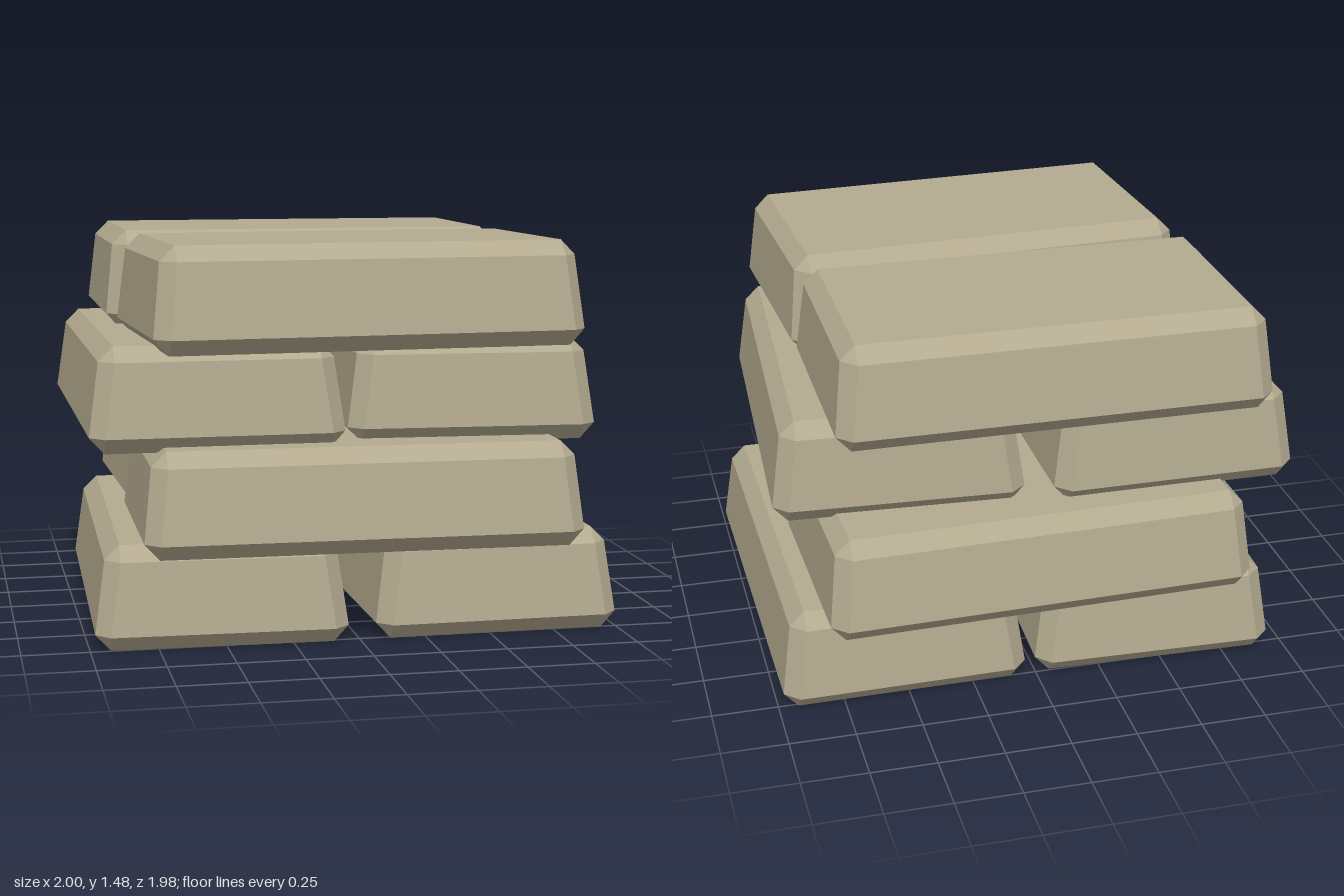
import * as THREE from 'three';

const CHAMFER = 0.055;
// Bar cross-sections from bottom to top: height, half length, half width, corner chamfer
const SECTIONS = [
  [0, 0.755, 0.413, 0],
  [0.06, 0.81, 0.468, CHAMFER],
  [0.33, 0.78, 0.43, CHAMFER],
  [0.385, 0.725, 0.375, 0],
];
const SIGNS = [[1, 1], [-1, 1], [-1, -1], [1, -1]];

// Eight points around a rectangle with cut corners
function ring([y, hx, hz, c]) {
  return SIGNS.flatMap(([sx, sz]) => {
    const pair = [[sx * hx, y, sz * (hz - c)], [sx * (hx - c), y, sz * hz]];
    return sx * sz > 0 ? pair : pair.reverse();
  });
}

// Tapered bar with bevelled edges
function barGeometry(closedBelow) {
  const rings = SECTIONS.map(ring);
  const positions = [];
  const same = (p, q) => p.every((v, i) => v === q[i]);
  const tri = (p, q, r) => {
    if (!same(p, q) && !same(q, r) && !same(p, r)) positions.push(...p, ...q, ...r);
  };
  for (let k = 0; k < rings.length - 1; k++) {
    for (let i = 0; i < 8; i++) {
      const j = (i + 1) % 8;
      const a = rings[k][i], b = rings[k][j], c = rings[k + 1][i], d = rings[k + 1][j];
      tri(b, a, c);
      tri(b, c, d);
    }
  }
  const top = rings[3], base = rings[0];
  tri(top[0], top[4], top[2]);
  tri(top[0], top[6], top[4]);
  if (closedBelow) {
    tri(base[0], base[2], base[4]);
    tri(base[0], base[4], base[6]);
  }
  const geometry = new THREE.BufferGeometry();
  geometry.setAttribute('position', new THREE.Float32BufferAttribute(positions, 3));
  geometry.computeVertexNormals();
  return geometry;
}

// Layers from the ground up; each bar is x, z, turn, length scale
const LAYERS = [
  { y: 0, lengthwise: true, bars: [[-0.49, 0, -0.03, 1], [0.52, 0, 0.012, 1]] },
  { y: 0.365, lengthwise: false, bars: [[0, 0.515, -0.016, 1], [0.02, -0.5, 0.027, 1]] },
  { y: 0.73, lengthwise: true, bars: [[-0.53, 0.015, 0.005, 1], [0.468, 0.025, -0.052, 0.93]] },
  { y: 1.095, lengthwise: false, bars: [[0, 0.475, 0.055, 0.99], [-0.04, -0.47, 0, 1]] },
];

export function createModel() {
  const model = new THREE.Group();
  model.name = 'barStack';
  const material = new THREE.MeshStandardMaterial({
    color: 0xb3aa8f, flatShading: true, side: THREE.DoubleSide,
  });
  const open = barGeometry(false);
  const closed = barGeometry(true);

  LAYERS.forEach(({ y, lengthwise, bars }, level) => {
    const layer = new THREE.Group();
    layer.name = `layer${level + 1}`;
    bars.forEach(([x, z, turn, scale], i) => {
      // Ground bars are hollow underneath
      const bar = new THREE.Mesh(level === 0 ? open : closed, material);
      bar.name = `bar${level * 2 + i + 1}`;
      bar.position.set(x, y, z);
      bar.rotation.y = turn + (lengthwise ? Math.PI / 2 : 0);
      bar.scale.x = scale;
      layer.add(bar);
    });
    model.add(layer);
  });
  return model;
}
